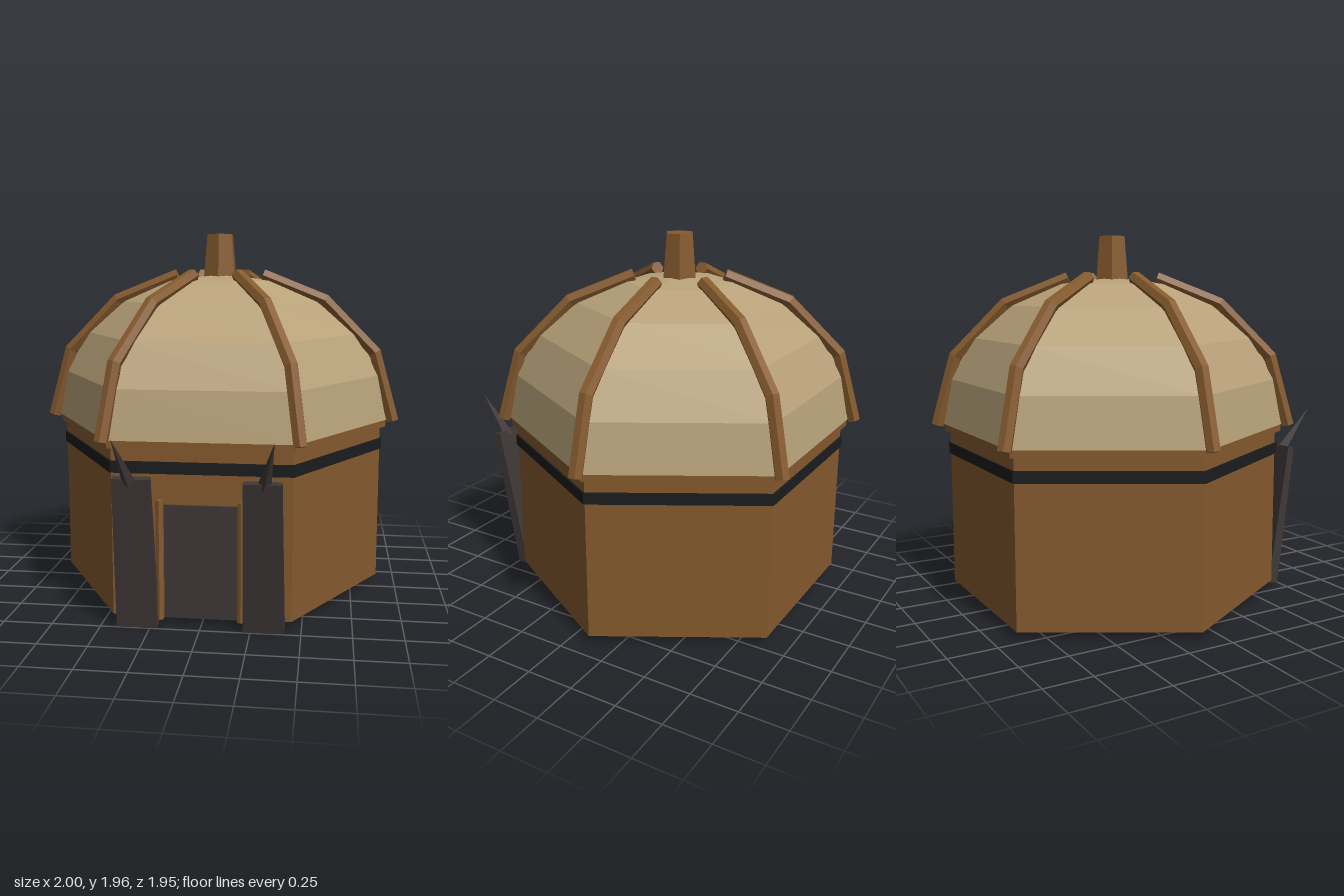
import * as THREE from 'three';

const flat = (name, color) => {
  const m = new THREE.MeshStandardMaterial({ color, flatShading: true });
  m.name = name;
  return m;
};

// Solid through equal-length rings of Vector3, capped at both ends
function loft(rings) {
  const n = rings[0].length, pos = [], idx = [];
  rings.forEach(r => r.forEach(p => pos.push(p.x, p.y, p.z)));
  for (let i = 0; i < rings.length - 1; i++) {
    for (let k = 0; k < n; k++) {
      const a = i * n + k, b = i * n + (k + 1) % n;
      idx.push(a, b, b + n, a, b + n, a + n);
    }
  }
  const last = (rings.length - 1) * n;
  for (let k = 1; k < n - 1; k++) {
    idx.push(0, k + 1, k);
    idx.push(last, last + k, last + k + 1);
  }
  const g = new THREE.BufferGeometry();
  g.setAttribute('position', new THREE.Float32BufferAttribute(pos, 3));
  g.setIndex(idx);
  g.computeVertexNormals();
  return g;
}

// Hexagonal beam mitred along a bent path in the xy plane
function beam(path, radius) {
  const pts = path.map(([x, y]) => new THREE.Vector2(x, y));
  const rings = pts.map((p, i) => {
    const d0 = pts[Math.max(i, 1)].clone().sub(pts[Math.max(i, 1) - 1]).normalize();
    const j = Math.min(i, pts.length - 2);
    const d1 = pts[j + 1].clone().sub(pts[j]).normalize();
    const t = d0.clone().add(d1).normalize();
    const mitre = 1 / t.dot(d0);
    return Array.from({ length: 6 }, (_, k) => {
      const a = k * Math.PI / 3;
      const out = Math.sin(a) * radius * mitre;
      return new THREE.Vector3(p.x + t.y * out, p.y - t.x * out, Math.cos(a) * radius);
    });
  });
  return loft(rings);
}

export function createModel() {
  const wood = flat('brown wood', 0x855a2e);
  const canvas = flat('tan roof', 0xb8a27a);
  const black = flat('black band', 0x1b1c1e);
  const iron = flat('dark iron', 0x3e3736);

  const model = new THREE.Group();
  model.name = 'hexagonalHut';
  const hut = new THREE.Group();
  hut.name = 'hut';
  hut.position.z = -0.105;
  model.add(hut);

  const add = (parent, name, geometry, material) => {
    const m = new THREE.Mesh(geometry, material);
    m.name = name;
    parent.add(m);
    return m;
  };
  // Six-sided prism between two heights
  const prism = (name, rTop, rBottom, y0, y1, material, start = Math.PI / 6) => {
    const g = new THREE.CylinderGeometry(rTop, rBottom, y1 - y0, 6, 1, false, start);
    add(hut, name, g.translate(0, (y0 + y1) / 2, 0), material);
  };

  // Walls, band, cornice and finial
  prism('walls', 0.9, 0.9, 0.04, 0.91, wood);
  prism('band', 0.91, 0.91, 0.775, 0.835, black);
  prism('cornice', 0.93, 0.93, 0.9, 0.94, wood);
  prism('finial', 0.077, 0.1, 1.7, 1.96, wood, 0);

  // Faceted dome
  const profile = [new THREE.Vector2(0, 0.94)];
  for (let i = 0; i <= 5; i++) {
    const a = i * Math.PI / 10;
    profile.push(new THREE.Vector2(i === 5 ? 0 : 0.94 * Math.cos(a), 0.94 + 0.805 * Math.sin(a)));
  }
  add(hut, 'roof', new THREE.LatheGeometry(profile, 6, Math.PI / 6), canvas);

  // Ribs along the roof corners
  const ribGeometry = beam([[0.968, 0.935], [0.862, 1.315], [0.582, 1.6], [0.24, 1.737]], 0.037);
  for (let i = 0; i < 6; i++) {
    add(hut, 'roofRib', ribGeometry, wood).rotation.y = i * Math.PI / 3;
  }

  // Door and its posts
  const door = add(model, 'door', new THREE.BoxGeometry(0.37, 0.58, 0.03), iron);
  door.position.set(0, 0.33, 0.673);
  for (const s of [-1, 1]) {
    const post = add(model, 'doorPost', new THREE.CylinderGeometry(0.021, 0.021, 0.61, 6), wood);
    post.position.set(s * 0.203, 0.345, 0.706);
  }

  // Leaning slabs beside the door, each with a spike; the left one leans out further
  for (const [s, lean] of [[-1, 0], [1, 0.036]]) {
    const ring = (half, yBack, yFront, zBack, zFront) => [
      [-half, yBack, zBack], [-half, yFront, zFront], [half, yFront, zFront], [half, yBack, zBack],
    ].map(([x, y, z]) => new THREE.Vector3(x + s * 0.316, y, z));
    const slab = loft([
      ring(0.103, 0.015, 0.003, 0.682, 0.742),
      ring(0.092, 0.79, 0.783, 0.81 + lean, 0.85 + lean),
    ]);
    add(model, 'leaningSlab', slab, iron);

    const base = new THREE.Vector3(s * 0.323, 0.765, 0.835 + lean * 0.6);
    const axis = new THREE.Vector3(s * 0.377, 1.0, 0.975).sub(base);
    const length = axis.length();
    const cone = new THREE.ConeGeometry(0.034, length, 4).translate(0, length / 2, 0);
    const spike = add(model, 'spike', cone, iron);
    spike.position.copy(base);
    spike.quaternion.setFromUnitVectors(new THREE.Vector3(0, 1, 0), axis.normalize());
  }
  return model;
}
